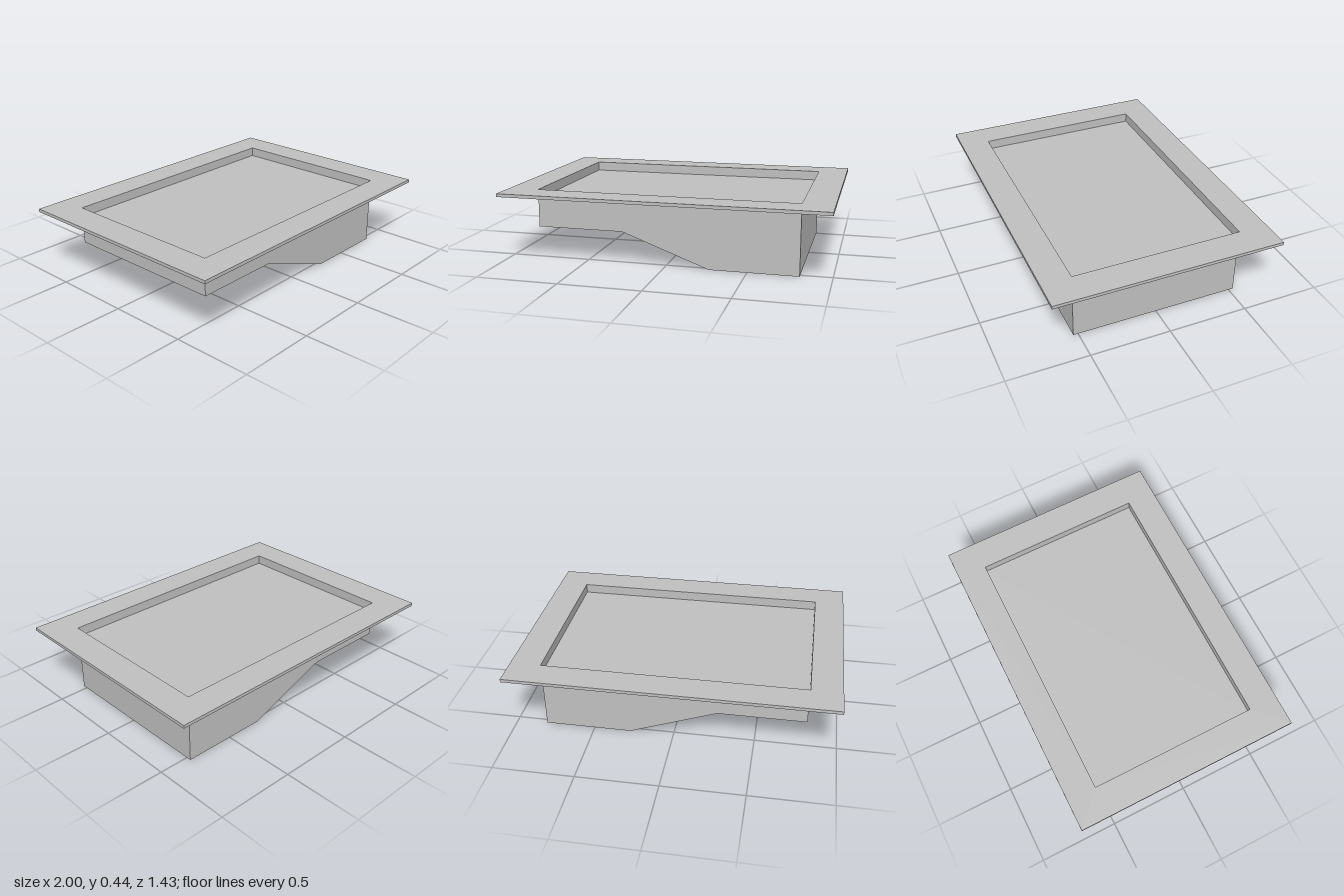
import * as THREE from 'three';

const HALF_X = 0.81, HALF_Z = 0.53;
const RIM_BOTTOM = 0.415, RIM_TOP = 0.435, WATER_LEVEL = 0.375;

function rectangle(Type, hx, hz) {
  return new Type([[-hx, -hz], [hx, -hz], [hx, hz], [-hx, hz]].map(([x, y]) => new THREE.Vector2(x, y)));
}

export function createModel() {
  const grey = new THREE.MeshStandardMaterial({ color: 0xc0c0c0 });
  grey.name = 'light grey';
  grey.side = THREE.DoubleSide;

  const model = new THREE.Group();
  model.name = 'swimmingPool';
  const add = (name, geometry, parent = model) => {
    const mesh = new THREE.Mesh(geometry, grey);
    mesh.name = name;
    parent.add(mesh);
    return mesh;
  };

  // Flat coping frame around the opening
  const frame = rectangle(THREE.Shape, 1, 0.714);
  frame.holes.push(rectangle(THREE.Path, HALF_X, HALF_Z));
  const rim = new THREE.ExtrudeGeometry(frame, { depth: RIM_TOP - RIM_BOTTOM, bevelEnabled: false });
  rim.rotateX(-Math.PI / 2).translate(0, RIM_BOTTOM, 0);
  add('rim', rim);

  // Thin basin: shallow end, slope and deep end
  const basin = new THREE.Group();
  basin.name = 'basin';
  model.add(basin);
  const profile = [
    [-HALF_X, RIM_BOTTOM], [-HALF_X, 0.2], [-0.27, 0.2],
    [0.27, 0], [HALF_X, 0], [HALF_X, RIM_BOTTOM],
  ].map(([x, y]) => new THREE.Vector2(x, y));

  const side = new THREE.Shape(profile);
  add('frontWall', new THREE.ShapeGeometry(side), basin).position.z = HALF_Z;
  const back = add('backWall', new THREE.ShapeGeometry(new THREE.Shape(
    profile.map((p) => new THREE.Vector2(-p.x, p.y)))), basin);
  back.rotation.y = Math.PI;
  back.position.z = -HALF_Z;

  // End walls and floor panels follow the profile, facing outward
  const names = ['shallowEndWall', 'shallowFloor', 'slopedFloor', 'deepFloor', 'deepEndWall'];
  names.forEach((name, i) => {
    const a = profile[i], b = profile[i + 1];
    const panel = new THREE.PlaneGeometry(a.distanceTo(b), 2 * HALF_Z);
    panel.rotateX(Math.PI / 2);
    panel.rotateZ(Math.atan2(b.y - a.y, b.x - a.x));
    panel.translate((a.x + b.x) / 2, (a.y + b.y) / 2, 0);
    add(name, panel, basin);
  });

  // Water surface just below the rim
  const water = new THREE.PlaneGeometry(2 * HALF_X, 2 * HALF_Z);
  water.rotateX(-Math.PI / 2).translate(0, WATER_LEVEL, 0);
  add('waterSurface', water);

  return model;
}
